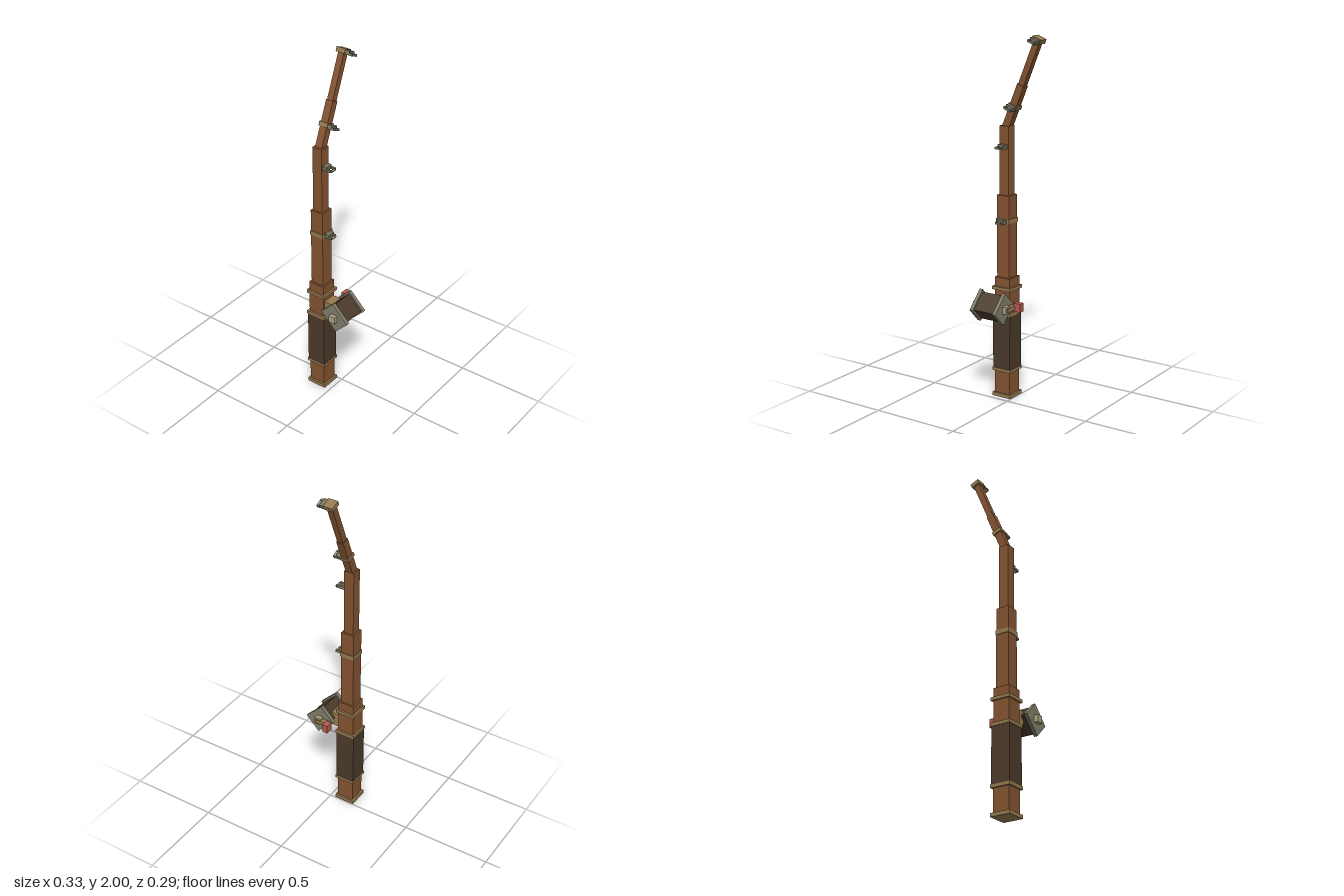
import * as THREE from 'three';

const mat = (name, color) => Object.assign(new THREE.MeshStandardMaterial({ color }), { name });

export function createModel() {
  const wood = mat('wood', 0x855431);
  const trim = mat('tan trim', 0x967a50);
  const dark = mat('dark wrap', 0x4b3a2b);
  const plate = mat('reel plate', 0x807d69);
  const iron = mat('guide metal', 0x74725f);
  const pale = mat('pale metal', 0xada480);
  const red = mat('red grip', 0xb85a4e);

  const root = new THREE.Group();
  root.name = 'fishingRod';

  const box = (parent, name, material, size, pos) => {
    const mesh = new THREE.Mesh(new THREE.BoxGeometry(...size), material);
    mesh.name = name;
    mesh.position.set(...pos);
    parent.add(mesh);
    return mesh;
  };

  // Square section of a pole between two heights
  const section = (parent, name, material, width, y0, y1) =>
    box(parent, name, material, [width, y1 - y0, width], [0, (y0 + y1) / 2, 0]);

  // Line guide: foot block, two prongs and a front bar; z is the pole's face
  const guide = (parent, y, z, reach) => {
    const g = new THREE.Group();
    g.name = 'lineGuide';
    g.position.set(0, y, z);
    box(g, 'guideFoot', iron, [0.047, 0.022, 0.026], [0, 0, 0.012]);
    for (const s of [-1, 1]) {
      box(g, 'guideProng', iron, [0.011, 0.012, reach - 0.027], [s * 0.018, -0.005, 0.022 + (reach - 0.027) / 2]);
    }
    box(g, 'guideBar', pale, [0.036, 0.007, 0.012], [0, -0.007, reach - 0.006]);
    parent.add(g);
  };

  // Straight pole, stepping thinner upwards
  const pole = new THREE.Group();
  pole.name = 'pole';
  pole.position.set(-0.062, 0, -0.09);
  root.add(pole);
  section(pole, 'lowerPole', wood, 0.096, 0.01, 0.685);
  section(pole, 'middlePole', wood, 0.077, 0.685, 1.14);
  section(pole, 'upperPole', wood, 0.058, 1.14, 1.515);
  section(pole, 'handleWrap', dark, 0.11, 0.163, 0.478);
  const bands = [[0, 0.02, 0.117], [0.149, 0.166, 0.117], [0.475, 0.493, 0.117],
    [0.615, 0.633, 0.117], [0.987, 1.013, 0.084]];
  for (const [y0, y1, w] of bands) section(pole, 'band', trim, w, y0, y1);
  guide(pole, 1.0, 0.042, 0.045);
  guide(pole, 1.407, 0.029, 0.058);

  // Bent tip
  const tip = new THREE.Group();
  tip.name = 'tip';
  tip.position.set(-0.064, 1.497, -0.09);
  tip.rotation.z = -Math.PI / 8;
  root.add(tip);
  section(tip, 'tipLower', wood, 0.042, -0.005, 0.26);
  section(tip, 'tipUpper', wood, 0.035, 0.26, 0.515);
  section(tip, 'tipBand', trim, 0.054, 0.122, 0.145);
  section(tip, 'tipCap', trim, 0.054, 0.506, 0.531);
  for (const y of [0.13, 0.515]) guide(tip, y, 0.027, 0.048);

  // Reel mount
  box(root, 'reelMount', trim, [0.078, 0.08, 0.06], [-0.062, 0.545, -0.021]);

  // Reel turned forty-five degrees
  const reel = new THREE.Group();
  reel.name = 'reel';
  reel.position.set(-0.063, 0.546, 0.057);
  reel.rotation.x = -Math.PI / 4;
  root.add(reel);
  box(reel, 'spool', dark, [0.13, 0.116, 0.089], [0, 0, 0]);
  for (const s of [-1, 1]) box(reel, 'reelPlate', plate, [0.02, 0.136, 0.11], [s * 0.074, 0, 0]);

  // Axle ends, crank and knob
  for (const s of [-1, 1]) box(root, 'axleEnd', pale, [0.024, 0.04, 0.04], [-0.063 + s * 0.095, 0.546, 0.057]);
  box(root, 'crankArm', trim, [0.029, 0.022, 0.081], [0.036, 0.546, 0.028]);
  box(root, 'crankKnob', red, [0.044, 0.047, 0.032], [0.062, 0.548, -0.016]);

  return root;
}
